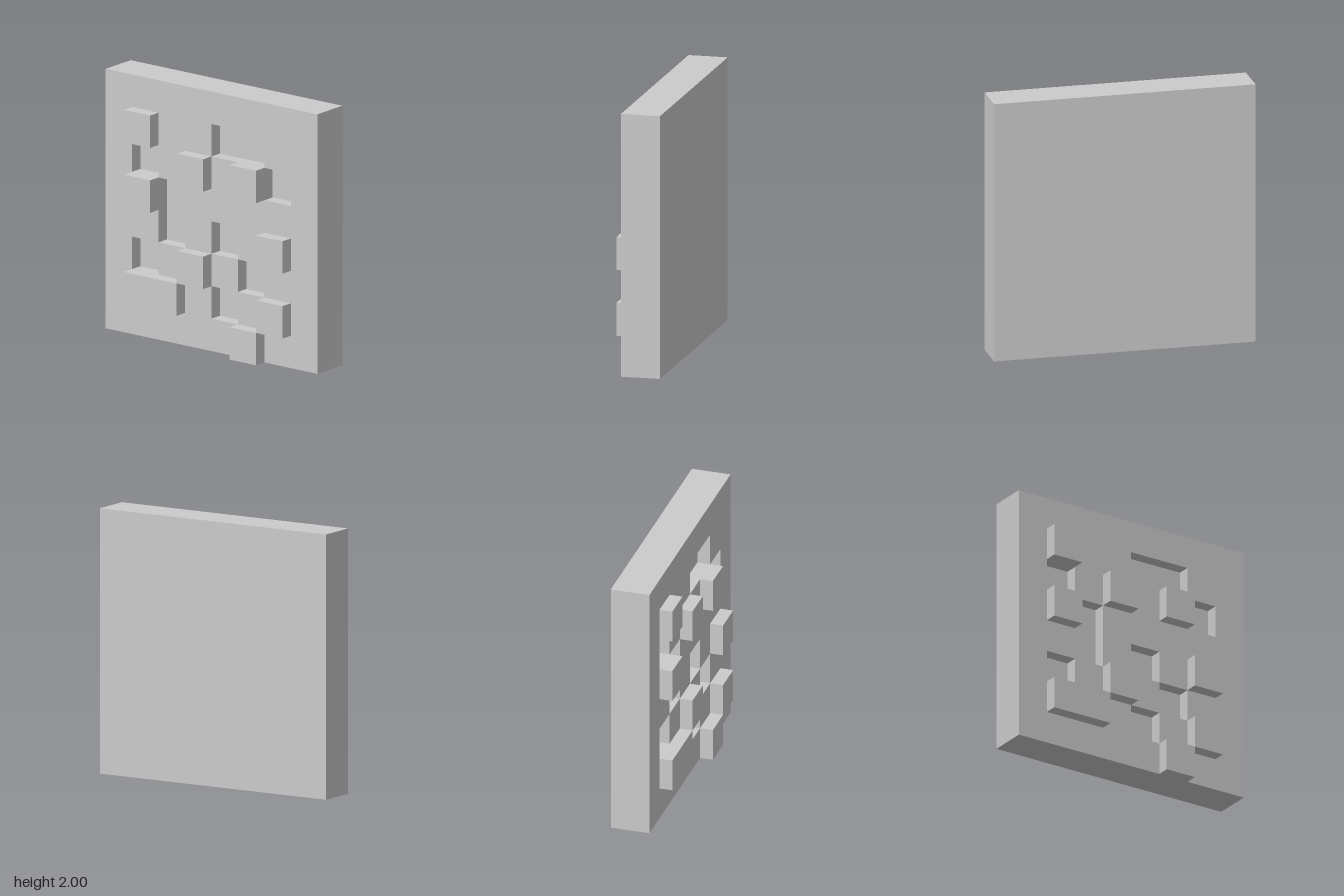
import * as THREE from 'three';

const CELL = 0.25, BACK = -0.2, FLOOR = 0, FACE = 0.1, RISE = 0.1;

// Relief plan, top row first: '#' raised block, 'o' recess, '.' flush
const PLAN = [
  '........',
  '.#..oo..',
  '.o.#.#o.',
  '.#o.....',
  '..o.o.#.',
  '.o.#.o..',
  '.##.o.#.',
  '.....#..',
];
const N = PLAN.length;
const left = (c) => -1 + c * CELL;
const top = (r) => 2 - r * CELL;

// Depth of the panel surface in a cell; outside the panel it drops to the back
function level(r, c) {
  if (r < 0 || c < 0 || r >= N || c >= N) return BACK;
  return PLAN[r][c] === 'o' ? FLOOR : FACE;
}

// Slab with square recesses sunk into the front
function panelGeometry() {
  const pos = [];
  const quad = (a, b, c, d) => pos.push(...a, ...b, ...c, ...a, ...c, ...d);
  for (let r = 0; r < N; r++) {
    for (let c = 0; c < N; c++) {
      const x0 = left(c), x1 = left(c + 1), y1 = top(r), y0 = top(r + 1);
      const z = level(r, c);
      // corners counter-clockwise from the front
      const ring = [[x0, y0], [x1, y0], [x1, y1], [x0, y1]];
      quad(...ring.map((p) => [...p, z]));
      // a wall wherever the neighbour lies deeper
      [[1, 0], [0, 1], [-1, 0], [0, -1]].forEach(([dr, dc], i) => {
        const low = level(r + dr, c + dc);
        if (low >= z) return;
        const p = ring[i], q = ring[(i + 1) % 4];
        quad([...p, low], [...q, low], [...q, z], [...p, z]);
      });
    }
  }
  // flat back
  quad([1, 0, BACK], [-1, 0, BACK], [-1, 2, BACK], [1, 2, BACK]);
  const g = new THREE.BufferGeometry();
  g.setAttribute('position', new THREE.Float32BufferAttribute(pos, 3));
  g.computeVertexNormals();
  return g;
}

export function createModel() {
  const model = new THREE.Group();
  model.name = 'reliefPanel';
  const material = new THREE.MeshStandardMaterial({ color: 0xcccccc, flatShading: true });

  const panel = new THREE.Mesh(panelGeometry(), material);
  panel.name = 'panel';
  model.add(panel);

  // Raised blocks, one per horizontal run of '#'
  const blocks = new THREE.Group();
  blocks.name = 'raisedBlocks';
  PLAN.forEach((row, r) => {
    for (const run of row.matchAll(/#+/g)) {
      const width = run[0].length * CELL;
      const block = new THREE.Mesh(new THREE.BoxGeometry(width, CELL, RISE), material);
      block.name = 'raisedBlock';
      block.position.set(left(run.index) + width / 2, top(r) - CELL / 2, FACE + RISE / 2);
      blocks.add(block);
    }
  });
  model.add(blocks);
  return model;
}
